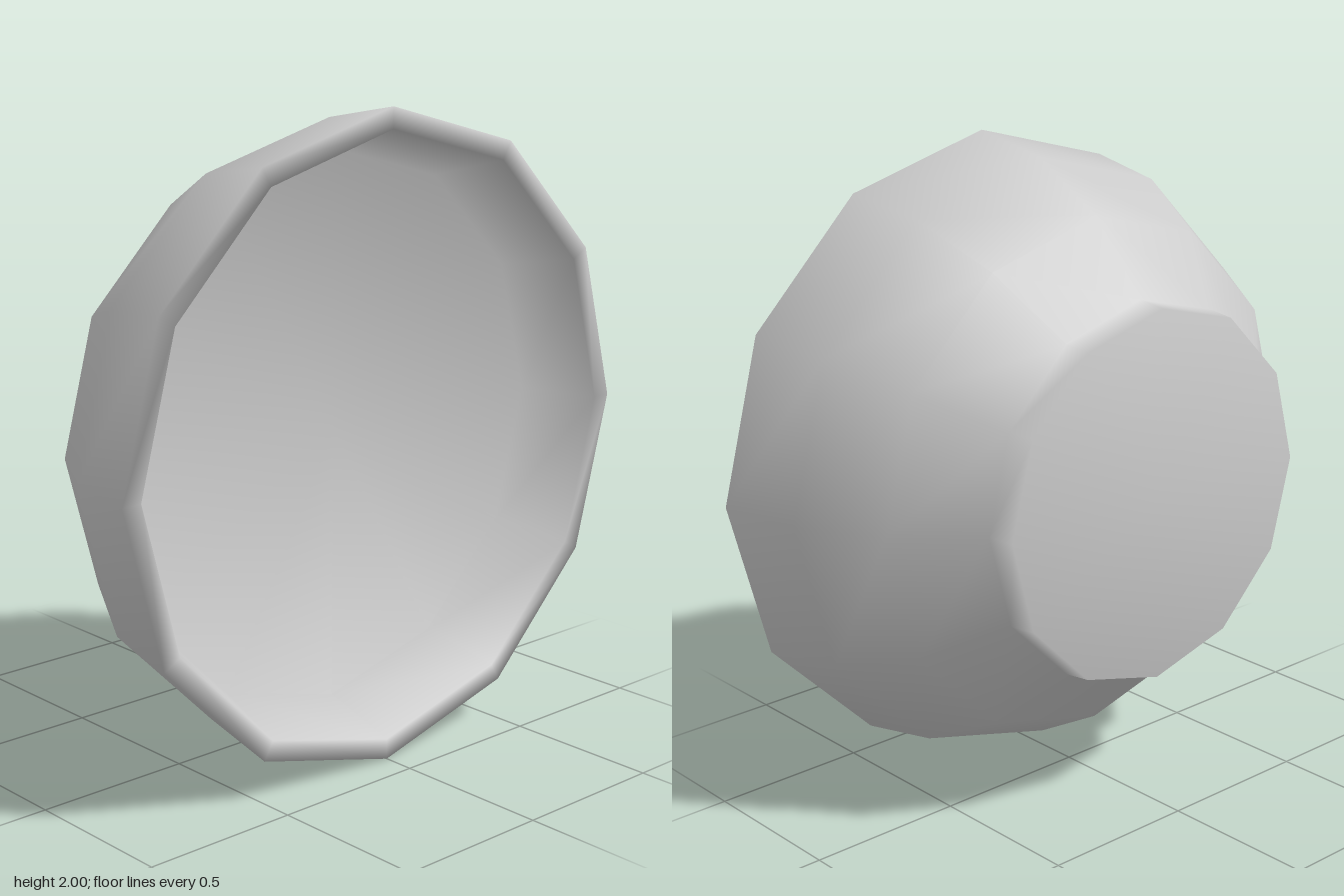
import * as THREE from 'three';
import { mergeVertices } from 'three/addons/utils/BufferGeometryUtils.js';

export function createModel() {
  const group = new THREE.Group();
  group.name = 'bowl';

  // closed wall section as [radius, position along the axis], from base centre to inner floor
  const section = [
    [0, -0.4], [0.58, -0.4], [0.59, -0.31],   // flat base and foot ring
    [0.81, -0.12], [0.95, 0.13], [1, 0.4],    // outer wall
    [0.935, 0.4], [0.86, 0.15], [0, 0.15],    // lip, inner wall and floor
  ].map(([r, h]) => new THREE.Vector2(r, h));

  // twelve-sided bowl lying on its side, opening towards +x
  const lathe = new THREE.LatheGeometry(section, 12);
  lathe.rotateZ(-Math.PI / 2);
  lathe.translate(0, 1, 0);

  // smooth shading across every ring
  lathe.deleteAttribute('normal');
  lathe.deleteAttribute('uv');
  const geometry = mergeVertices(lathe, 1e-4);
  geometry.computeVertexNormals();

  const bowl = new THREE.Mesh(geometry, new THREE.MeshStandardMaterial({ color: 0xcccccc }));
  bowl.name = 'bowlShell';
  group.add(bowl);
  return group;
}
